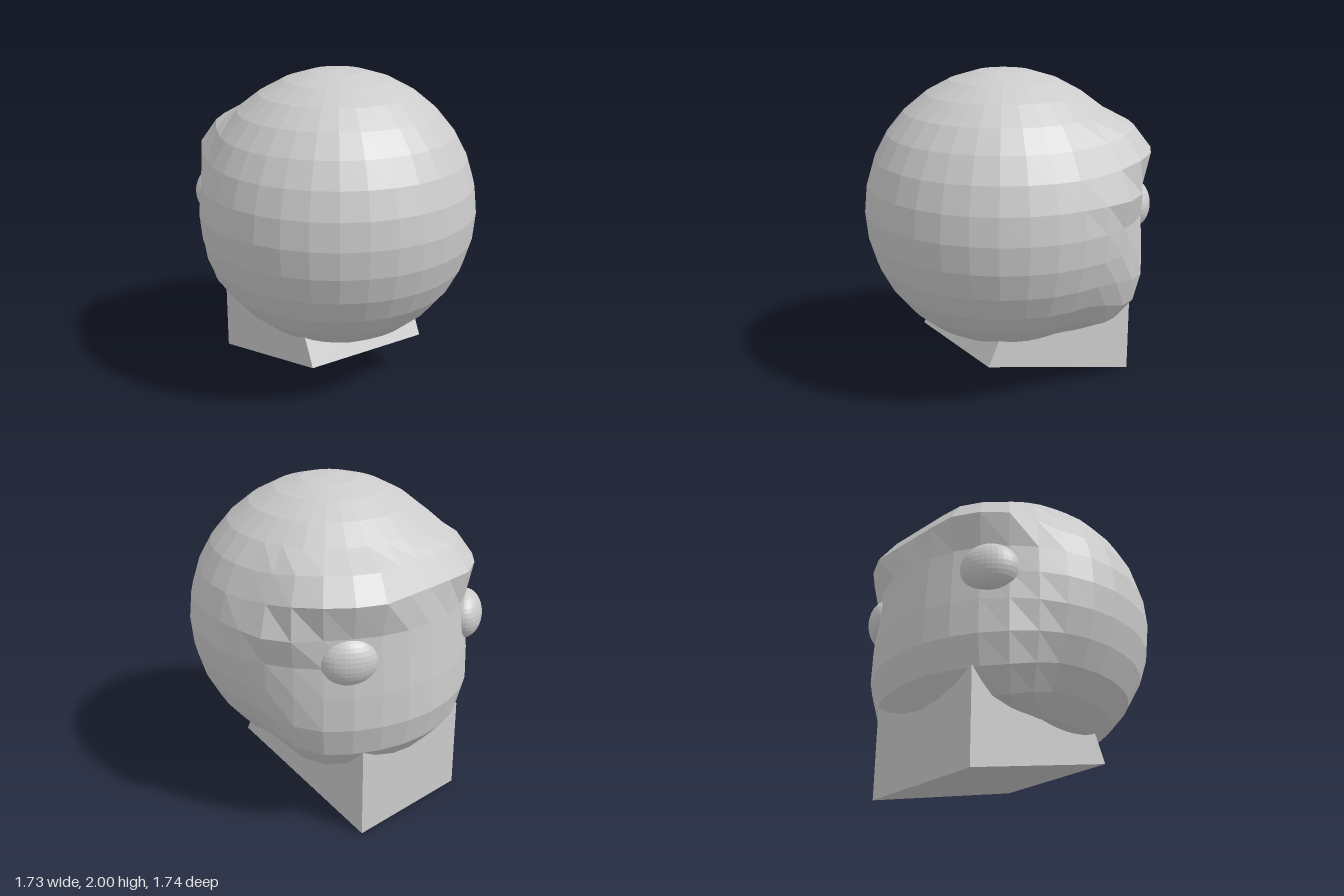
import * as THREE from 'three';

const RADIUS = 0.865, CENTRE_Y = 1.135, SEGMENTS = 32, RINGS = 16;

// Height and radius each ring is pulled to on the face side (-z)
const FACE_RINGS = {
  4: [1.75, 0.62], 5: [1.66, 0.73], 6: [1.52, 0.83], 7: [1.31, 0.845],
  8: [1.135, 0.857], 9: [0.96, 0.87], 10: [0.75, 0.875], 11: [0.57, 0.83],
  12: [0.44, 0.72], 13: [0.36, 0.5], 14: [0.31, 0.33],
};

// Ball head with a squared brow and a full jaw on the -z side
function headGeometry() {
  const geo = new THREE.SphereGeometry(RADIUS, SEGMENTS, RINGS);
  const pos = geo.attributes.position;
  for (let i = 0; i < pos.count; i++) {
    const ring = Math.floor(i / (SEGMENTS + 1));
    const x = pos.getX(i), z = pos.getZ(i);
    let y = pos.getY(i) + CENTRE_Y, r = Math.hypot(x, z);
    const azimuth = Math.atan2(x, -z), c = Math.cos(azimuth);
    if (FACE_RINGS[ring]) {
      // the bulge reaches a little further round on the +x side
      const right = x > 0;
      const w = THREE.MathUtils.smoothstep(c, right ? 0.2 : 0.35, right ? 0.72 : 0.82);
      let [ty, tr] = FACE_RINGS[ring];
      if (ring === 5 || ring === 6) {
        tr = Math.min(tr / Math.max(c, 0.1), tr * (right ? 1.09 : 1.07));
      }
      y = THREE.MathUtils.lerp(y, ty, w);
      r = THREE.MathUtils.lerp(r, tr, w);
      // raised temple on the +x side
      if (ring === 7) r += 0.06 * Math.exp(-(((azimuth - 1.08) / 0.25) ** 2));
    }
    pos.setXYZ(i, Math.sin(azimuth) * r, y, -c * r);
  }
  geo.computeVertexNormals();
  return geo;
}

// Wedge-shaped neck: side profile extruded across x
function neckGeometry() {
  const profile = new THREE.Shape([
    [-0.36, 0.27], [0.72, 0], [0.72, 0.58], [-0.2, 0.6],
  ].map(([x, y]) => new THREE.Vector2(x, y)));
  const geo = new THREE.ExtrudeGeometry(profile, { depth: 0.83, bevelEnabled: false });
  return geo.rotateY(Math.PI / 2).translate(-0.43, 0, 0);
}

export function createModel() {
  const group = new THREE.Group();
  const material = new THREE.MeshStandardMaterial({ color: 0xcccccc, flatShading: true });
  const add = (name, geo) => {
    const mesh = new THREE.Mesh(geo, material);
    mesh.name = name;
    group.add(mesh);
    return mesh;
  };

  add('head', headGeometry());
  add('neck', neckGeometry());

  // Flattened ball eyes turned outward
  const eyeGeo = new THREE.SphereGeometry(1, 32, 16).scale(0.17, 0.15, 0.11);
  for (const [name, x, z] of [['rightEye', -0.51, -0.67], ['leftEye', 0.465, -0.655]]) {
    const eye = add(name, eyeGeo);
    eye.position.set(x, 1.165, z);
    eye.rotation.y = Math.atan2(x, z);
  }
  return group;
}
